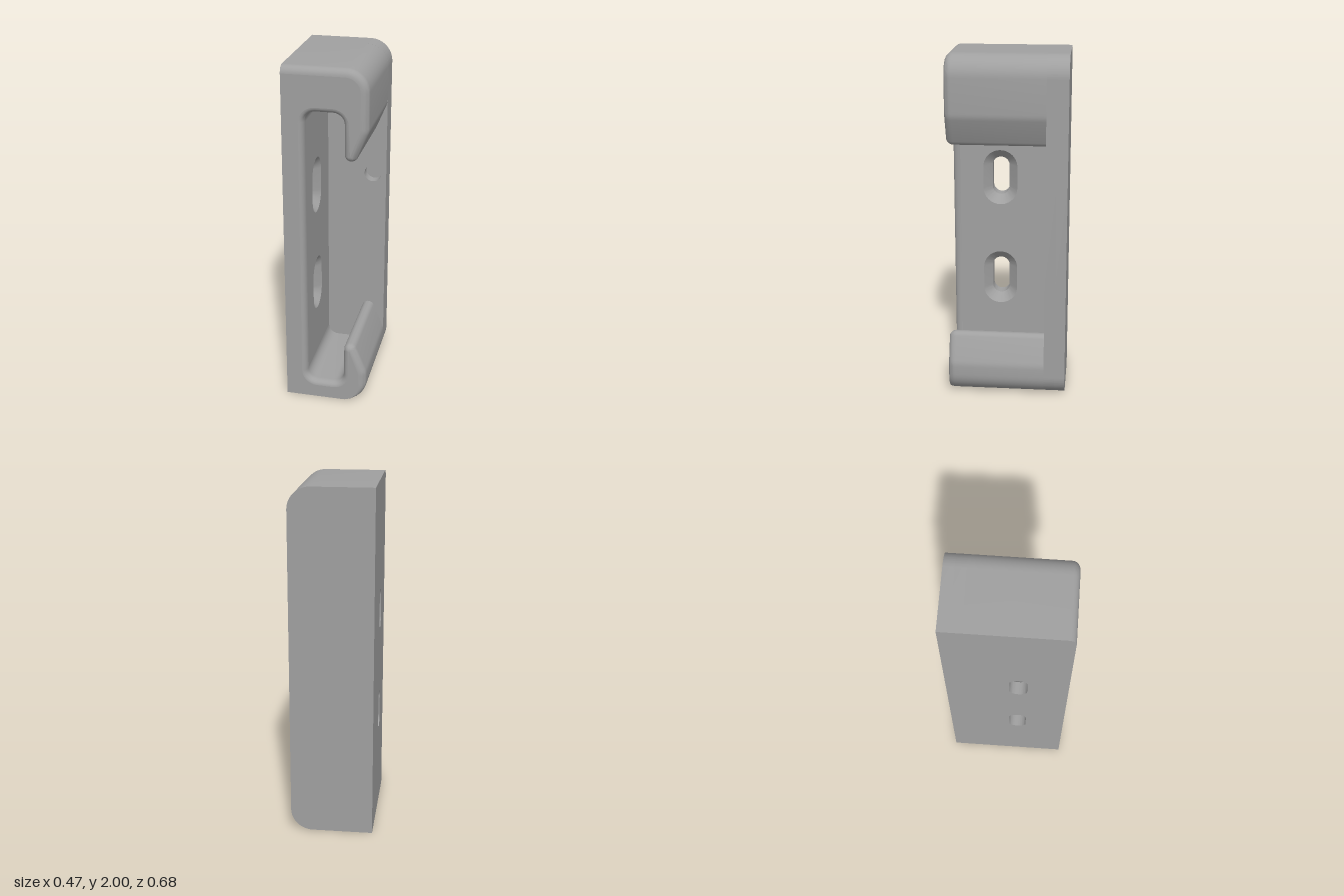
import * as THREE from 'three';
import { toCreasedNormals } from 'three/addons/utils/BufferGeometryUtils.js';

const LEFT = -0.237, RIGHT = 0.235, INNER = -0.115;
const BACK = -0.342, STEP = -0.22, FRONT = 0.342;
const FILLET = 0.042;
const rad = THREE.MathUtils.degToRad;

// Skin between rows of 3D points; rows are closed loops, skip(r, i) leaves a quad out
function loft(rows, skip = () => false) {
  const n = rows[0].length, index = [];
  for (let r = 0; r < rows.length - 1; r++) {
    for (let i = 0; i < n; i++) {
      if (skip(r, i)) continue;
      const j = (i + 1) % n, a = r * n + i, b = r * n + j;
      index.push(a, b, b + n, a, b + n, a + n);
    }
  }
  const g = new THREE.BufferGeometry();
  g.setAttribute('position', new THREE.Float32BufferAttribute(rows.flat(2), 3));
  g.setIndex(index);
  return toCreasedNormals(g, 0.6);
}

// Outline of the hooked channel, counter-clockwise, with normals and fillet width w
function channelProfile() {
  const pts = [];
  const arc = (cx, cy, r, a0, a1, steps, w0, w1 = w0, sign = 1) => {
    for (let k = 0; k <= steps; k++) {
      const t = k / steps, a = rad(a0 + (a1 - a0) * t), c = Math.cos(a), s = Math.sin(a);
      pts.push({ x: cx + r * c, y: cy + r * s, nx: sign * c, ny: sign * s, w: w0 + (w1 - w0) * t });
    }
  };
  const lip = 0.036, inside = 0.03;
  pts.push({ x: LEFT, y: 0, nx: 0, ny: -1, w: 0 });
  arc(0.11, 0.125, 0.125, -90, 0, 10, 0, FILLET);          // lower outer corner
  arc(0.135, 0.173, 0.1, 0, 23, 3, FILLET);                // lower hook taper
  arc(0.138, 0.328, 0.037, 23, 180, 12, lip);              // lower lip
  arc(0.041, 0.165, 0.06, 0, -90, 7, inside, inside, -1);  // cavity corners
  arc(-0.055, 0.165, 0.06, -90, -180, 7, inside, inside, -1);
  arc(-0.055, 1.695, 0.06, 180, 90, 7, inside, inside, -1);
  arc(0.041, 1.695, 0.06, 90, 0, 7, inside, inside, -1);
  arc(0.138, 1.527, 0.037, 180, 337, 12, lip);             // upper lip
  arc(0.135, 1.682, 0.1, -23, 0, 3, FILLET);               // upper hook taper
  arc(0.11, 1.875, 0.125, 0, 90, 10, FILLET);              // upper outer corner
  pts.push({ x: LEFT, y: 2, nx: 0, ny: 1, w: FILLET });
  return pts;
}

// Points of an upright slot outline
function slotPoints(cu, cv, r, half = 0.064) {
  const out = [];
  for (let k = 0; k <= 24; k++) {
    const a = Math.PI * k / 24;
    out.push([cu + r * Math.cos(a), cv + half + r * Math.sin(a)]);
  }
  for (let k = 0; k <= 24; k++) {
    const a = Math.PI * (1 + k / 24);
    out.push([cu + r * Math.cos(a), cv - half + r * Math.sin(a)]);
  }
  return out;
}

const toPath = (pts) => new THREE.Path(pts.map(([u, v]) => new THREE.Vector2(u, v)));

// End wall outline, rounded on the open side only
function wallShape() {
  const s = new THREE.Shape();
  s.moveTo(LEFT, 0);
  s.lineTo(0.11, 0);
  s.absarc(0.11, 0.125, 0.125, -Math.PI / 2, 0, false);
  s.lineTo(RIGHT, 1.875);
  s.absarc(0.11, 1.875, 0.125, 0, Math.PI / 2, false);
  s.lineTo(LEFT, 2);
  s.closePath();
  return s;
}

export function createModel() {
  const group = new THREE.Group();
  const grey = new THREE.MeshStandardMaterial({ color: 0xa0a0a0 });
  grey.name = 'grey plastic';
  const add = (name, geometry) => {
    const m = new THREE.Mesh(geometry, grey);
    m.name = name;
    group.add(m);
    return m;
  };

  // Channel walls with hooks and a rounded front rim
  const profile = channelProfile();
  const row = (z, inset) => profile.map((p) => [p.x - p.nx * p.w * inset, p.y - p.ny * p.w * inset, z]);
  const rows = [row(STEP, 0)];
  for (let k = 0; k <= 6; k++) {
    const t = (k / 6) * Math.PI / 2;
    rows.push(row(FRONT - FILLET + FILLET * Math.sin(t), 1 - Math.cos(t)));
  }
  const last = profile.length - 1;
  const isInnerBack = (i) => i < last && profile[i].x < -0.11 && profile[i + 1].y - profile[i].y > 1;
  add('hookedChannel', loft(rows, (r, i) => i === last || (r === 0 && isInnerBack(i))));

  // Flat front face of the channel
  const rim = new THREE.Shape(rows[rows.length - 1].map(([x, y]) => new THREE.Vector2(x, y)));
  add('channelFront', new THREE.ShapeGeometry(rim)).position.z = FRONT;

  // Back plate faces with screw slots
  const slotZ = 0.064, slotYs = [0.614, 1.238];
  const inner = new THREE.Shape();
  inner.moveTo(-(FRONT - FILLET), 0.165);
  inner.lineTo(-STEP, 0.165);
  inner.lineTo(-STEP, 1.695);
  inner.lineTo(-(FRONT - FILLET), 1.695);
  inner.closePath();
  inner.holes = slotYs.map((y) => toPath(slotPoints(-slotZ, y, 0.1)));
  add('backPlateInside', new THREE.ShapeGeometry(inner).rotateY(Math.PI / 2)).position.x = INNER;

  const outer = new THREE.Shape();
  outer.moveTo(STEP, 0);
  outer.lineTo(FRONT, 0);
  outer.lineTo(FRONT, 2 - FILLET);
  outer.absarc(FRONT - FILLET, 2 - FILLET, FILLET, 0, Math.PI / 2, false);
  outer.lineTo(STEP, 2);
  outer.closePath();
  outer.holes = slotYs.map((y) => toPath(slotPoints(slotZ, y, 0.05)));
  add('backPlateOutside', new THREE.ShapeGeometry(outer).rotateY(-Math.PI / 2)).position.x = LEFT;

  // Countersunk slot walls
  for (const y of slotYs) {
    const ring = (x, r) => slotPoints(slotZ, y, r).map(([z, v]) => [x, v, z]);
    add('screwSlot', loft([ring(LEFT, 0.05), ring(INNER - 0.05, 0.05), ring(INNER, 0.1)]));
  }

  // End wall in two layers, the front one pierced by a blind round hole
  const mid = (BACK + STEP) / 2;
  const layer = (shape, z0, z1) => toCreasedNormals(
    new THREE.ExtrudeGeometry(shape, { depth: z1 - z0, bevelEnabled: false, curveSegments: 16 }).translate(0, 0, z0), 0.6);
  add('endWallBack', layer(wallShape(), BACK, mid));
  const pierced = wallShape();
  pierced.holes.push(new THREE.Path().absarc(0.155, 1.222, 0.05, 0, Math.PI * 2, true));
  add('endWallFront', layer(pierced, mid, STEP));

  return group;
}
